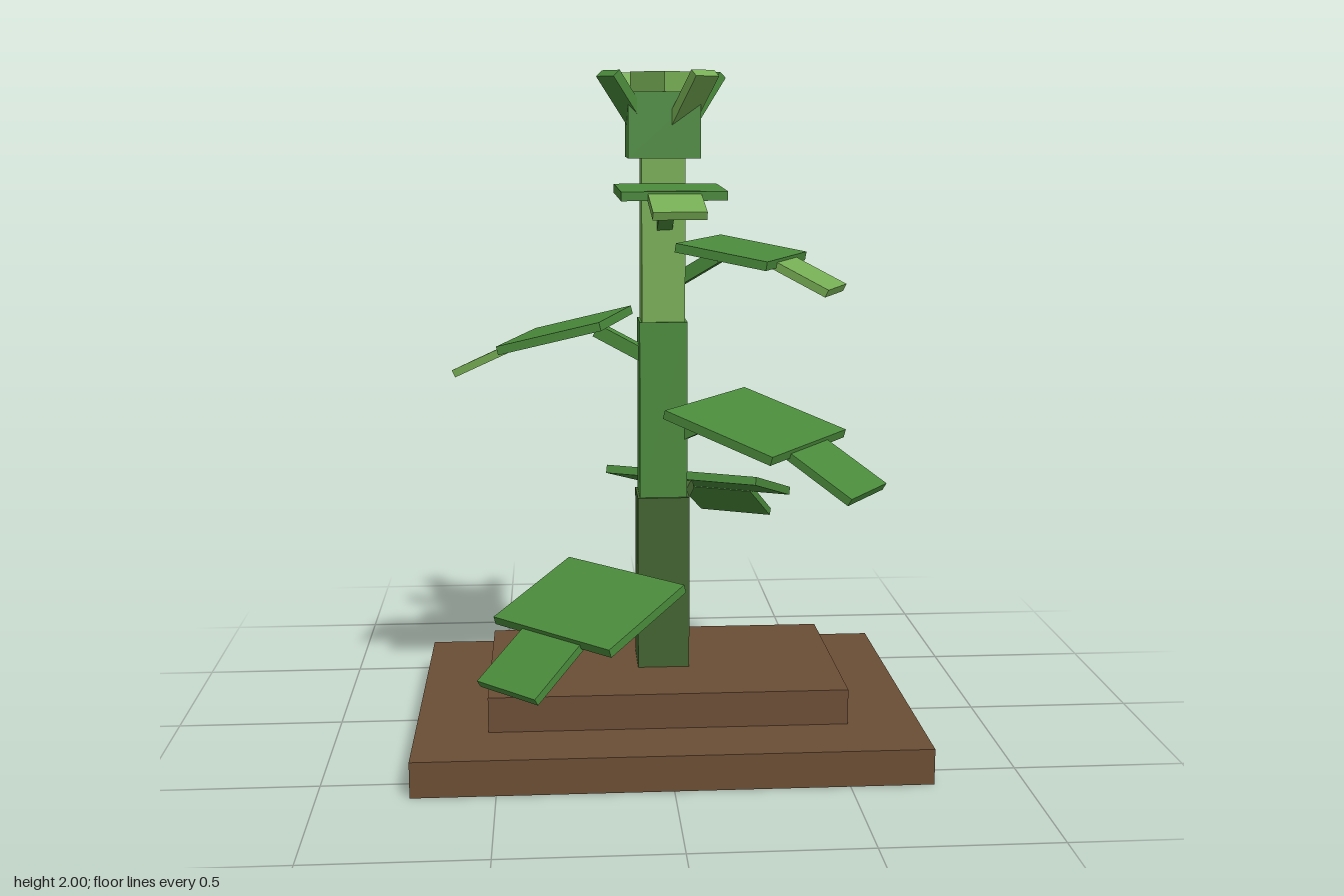
import * as THREE from 'three';

const material = (name, color) => {
  const m = new THREE.MeshStandardMaterial({ color });
  m.name = name;
  return m;
};

export function createModel() {
  const soil = material('soil brown', 0x6b4e35);
  const dark = material('dark green', 0x42632f);
  const green = material('leaf green', 0x4a8a3b);
  const light = material('light green', 0x76ad54);

  const model = new THREE.Group();
  model.name = 'plant';

  function box(parent, name, mat, w, h, d, x, y, z) {
    const mesh = new THREE.Mesh(new THREE.BoxGeometry(w, h, d), mat);
    mesh.name = name;
    mesh.position.set(x, y, z);
    parent.add(mesh);
    return mesh;
  }

  // Slab whose centre line runs from radius r0, height y0 to radius r1, height y1 (outward = local +z)
  function slab(parent, name, mat, w, t, r0, y0, r1, y1) {
    const mesh = box(parent, name, mat, w, t, Math.hypot(r1 - r0, y1 - y0), 0, (y0 + y1) / 2, (r0 + r1) / 2);
    mesh.rotation.x = -Math.atan2(y1 - y0, r1 - r0);
    return mesh;
  }

  function spoke(parent, name, degrees) {
    const g = new THREE.Group();
    g.name = name;
    g.rotation.y = THREE.MathUtils.degToRad(degrees);
    parent.add(g);
    return g;
  }

  // Everything is arranged around the trunk axis
  const plant = new THREE.Group();
  plant.name = 'plantBody';
  plant.position.z = 0.073;
  model.add(plant);

  // Stepped soil base
  box(plant, 'lowerBase', soil, 1.48, 0.105, 1.06, 0, 0.0525, 0);
  box(plant, 'upperBase', soil, 1.055, 0.105, 0.635, 0, 0.1575, 0);

  // Trunk in three narrowing sections
  box(plant, 'lowerTrunk', dark, 0.156, 0.53, 0.156, 0, 0.475, 0);
  box(plant, 'middleTrunk', green, 0.142, 0.53, 0.142, 0, 1.005, 0);
  box(plant, 'upperTrunk', light, 0.128, 0.48, 0.128, 0, 1.51, 0);

  // Leaves: angle, width, inner/outer/tip radius, inner top, outer bottom, tip bottom, materials
  const leaves = [
    [-45, 0.467, 0.165, 0.486, 0.666, 0.53, 0.387, 0.265, green, dark],
    [155, 0.5, 0.155, 0.52, 0.716, 0.775, 0.64, 0.515, green, dark],
    [55, 0.477, 0.15, 0.496, 0.686, 1.045, 0.92, 0.802, green, green],
    [-105, 0.434, 0.14, 0.45, 0.627, 1.285, 1.18, 1.09, light, green],
    [64.5, 0.378, 0.115, 0.388, 0.542, 1.515, 1.445, 1.365, light, green],
    [3, 0.3, 0.07, 0.295, 0.418, 1.677, 1.638, 1.59, light, green],
  ];
  leaves.forEach(([angle, w, rIn, rOut, rTip, yIn, yOut, yTip, tipMat, stemMat], i) => {
    const t = 0.026;
    const g = spoke(plant, `leaf${i + 1}`, angle);
    slab(g, 'leafBlade', green, w, t, rIn, yIn - t / 2, rOut, yOut + t / 2);
    slab(g, 'leafTip', tipMat, w / 2, t * 0.9, rOut - 0.03, yOut + t / 2 + 0.005, rTip - 0.006, yTip + t / 2);
    slab(g, 'leafStem', stemMat, 0.045, 0.04, 0.04, yIn - 0.13, rIn + 0.06, yIn - 0.05);
  });

  // Flower head: cup, diamond bud and four flared petals
  box(plant, 'flowerCup', green, 0.21, 0.19, 0.21, 0, 1.845, 0);
  box(plant, 'bud', light, 0.133, 0.075, 0.133, 0, 1.9605, 0).rotation.y = Math.PI / 4;
  for (let i = 0; i < 4; i++) {
    const g = spoke(plant, `petal${i + 1}`, 34.4 + i * 90);
    slab(g, 'petalBlade', i % 2 ? green : light, 0.084, 0.028, 0.085, 1.85, 0.197, 1.991);
  }

  return model;
}
